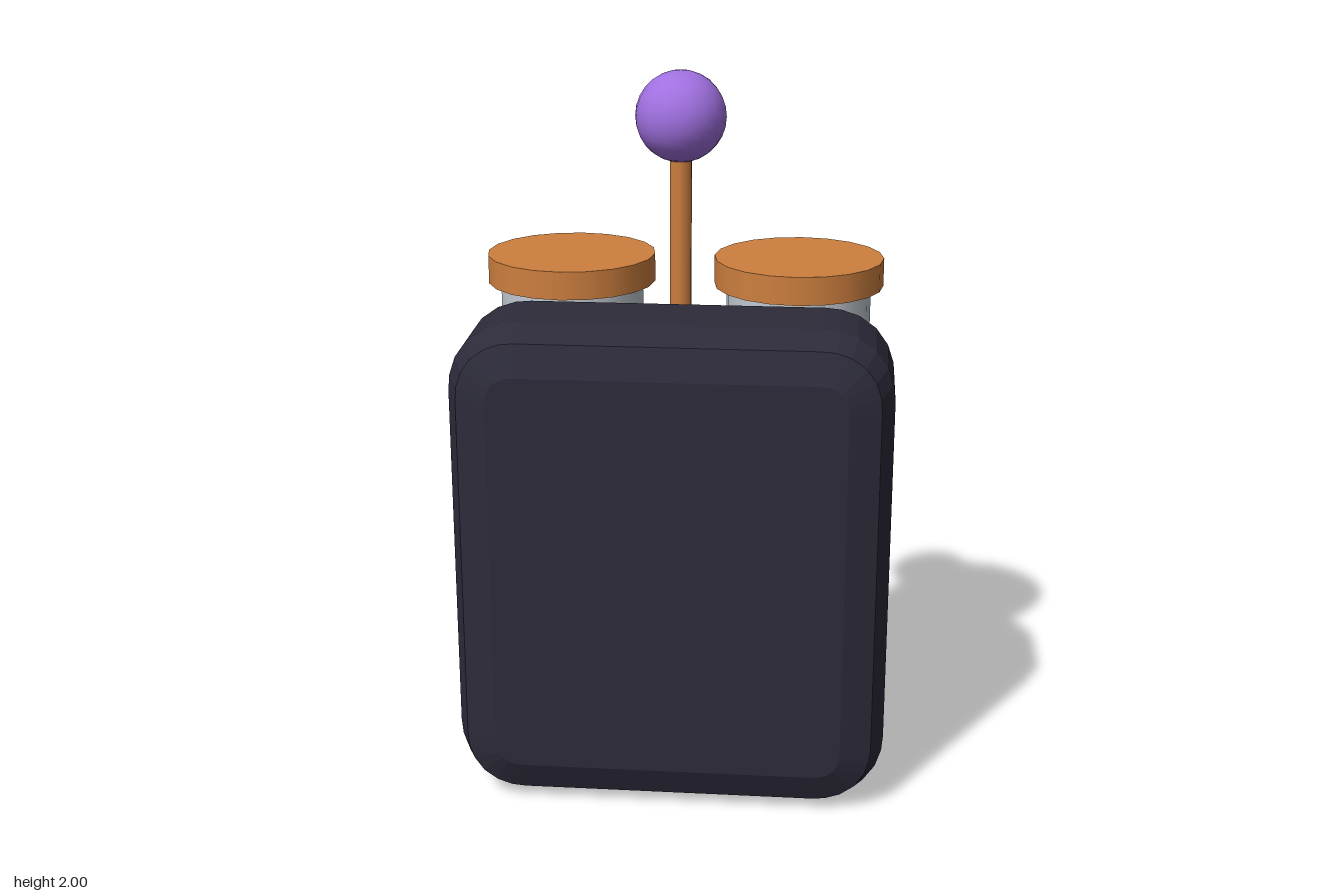
import * as THREE from 'three';

const mat = (name, color) => {
  const m = new THREE.MeshStandardMaterial({ color });
  m.name = name;
  return m;
};

export function createModel() {
  const group = new THREE.Group();
  const dark = mat('dark shell', 0x2d2b3a);
  const copper = mat('copper', 0xcd7f3f);
  const steel = mat('pale steel', 0xc0c8d0);
  const purple = mat('purple', 0xa070e0);

  const add = (parent, name, geometry, material, x, y, z) => {
    const mesh = new THREE.Mesh(geometry, material);
    mesh.name = name;
    mesh.position.set(x, y, z);
    parent.add(mesh);
    return mesh;
  };

  // Pack body: rounded rectangle with a two-step bevel
  const bevel = 0.12, w = 0.48, h = 0.568, r = 0.08;
  const outline = new THREE.Shape();
  outline.moveTo(-w + r, -h);
  outline.lineTo(w - r, -h);
  outline.quadraticCurveTo(w, -h, w, -h + r);
  outline.lineTo(w, h - r);
  outline.quadraticCurveTo(w, h, w - r, h);
  outline.lineTo(-w + r, h);
  outline.quadraticCurveTo(-w, h, -w, h - r);
  outline.lineTo(-w, -h + r);
  outline.quadraticCurveTo(-w, -h, -w + r, -h);
  const bodyGeometry = new THREE.ExtrudeGeometry(outline, {
    depth: 0.22, bevelEnabled: true, bevelThickness: bevel,
    bevelSize: bevel, bevelSegments: 2, curveSegments: 6,
  });
  add(group, 'packBody', bodyGeometry, dark, 0, h + bevel, 0.074);

  // Two tanks with end caps and coil rings
  const tube = new THREE.CylinderGeometry(0.205, 0.205, 1.22, 20);
  const cap = new THREE.CylinderGeometry(0.24, 0.24, 0.08, 20);
  const ring = new THREE.TorusGeometry(0.222, 0.029, 8, 24).rotateX(Math.PI / 2);
  for (const side of [1, -1]) {
    const tank = new THREE.Group();
    tank.name = side > 0 ? 'leftTank' : 'rightTank';
    tank.position.set(side * 0.325, 0, -0.162);
    add(tank, 'tankTube', tube, steel, 0, 0.79, 0);
    add(tank, 'topCap', cap, copper, 0, 1.42, 0);
    add(tank, 'bottomCap', cap, copper, 0, 0.16, 0);
    for (let i = 0; i < 4; i++) add(tank, 'coilRing', ring, copper, 0, 0.39 + i * 0.258, 0);
    group.add(tank);
  }

  // Antenna rod and ball
  add(group, 'antennaRod', new THREE.CylinderGeometry(0.031, 0.031, 0.46, 10), copper, 0, 1.56, -0.033);
  add(group, 'antennaBall', new THREE.SphereGeometry(0.125, 20, 14), purple, 0, 1.875, -0.035);

  // Faceted gem on the back, between the tanks
  add(group, 'backGem', new THREE.OctahedronGeometry(0.1), purple, 0, 1.14, -0.05);

  return group;
}
